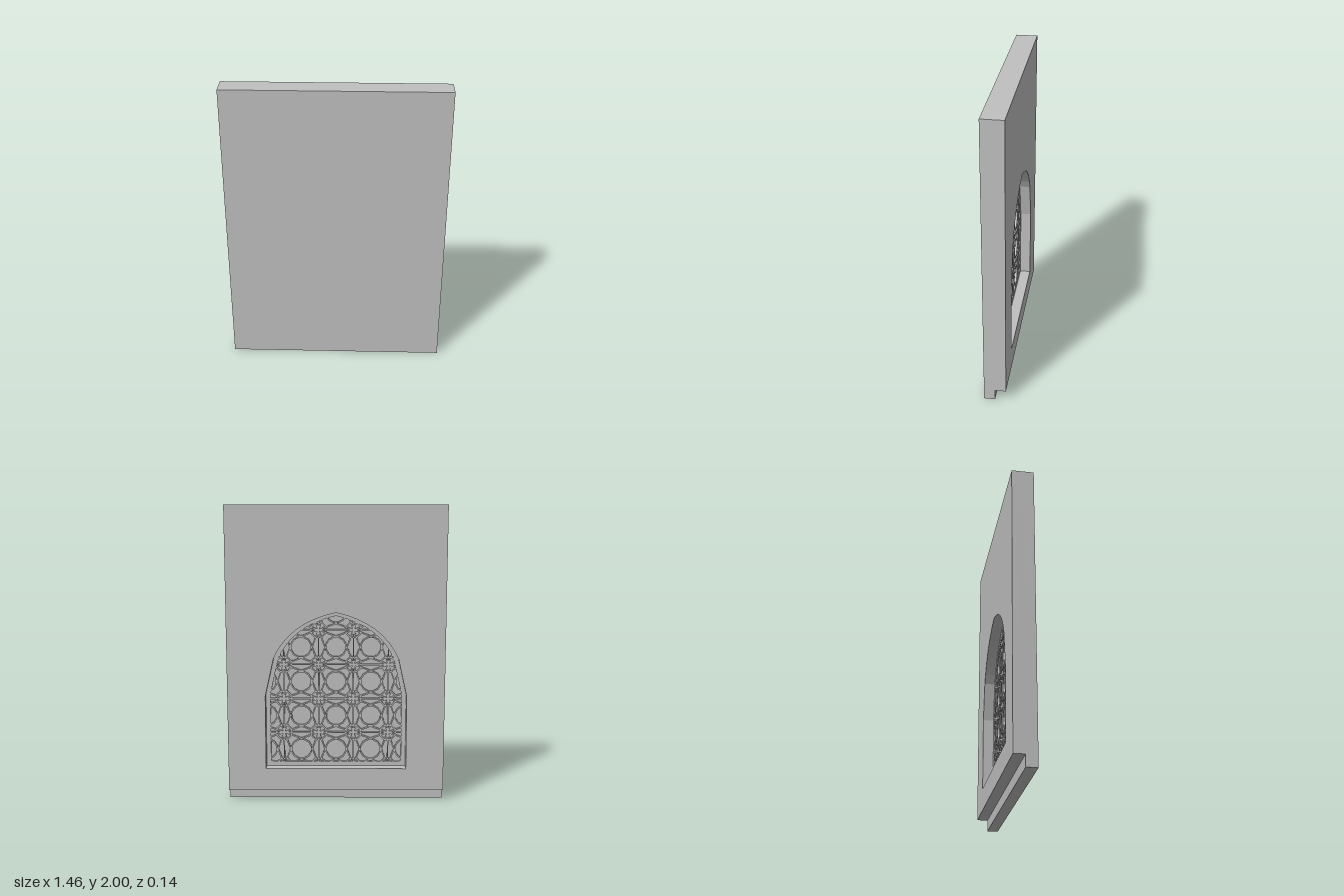
import * as THREE from 'three';
import { mergeGeometries } from 'three/addons/utils/BufferGeometryUtils.js';

const W = 0.73, FRONT = 0.073, BACK = -0.072, FLOOR = 0.015;

// Pointed arch outline, counter-clockwise from the bottom right, moved inwards by inset
function archPoints(inset) {
  const cy = 0.73, sx = (0.475 - inset) / 0.475, sy = (0.567 - inset) / 0.567;
  const curve = new THREE.QuadraticBezierCurve(
    new THREE.Vector2(0.418, 0.985), new THREE.Vector2(0.311, 1.229), new THREE.Vector2(0, 1.297));
  const half = [new THREE.Vector2(0.475, cy), ...curve.getPoints(8)]
    .map(p => new THREE.Vector2(p.x * sx, cy + (p.y - cy) * sy));
  const left = half.slice(0, -1).reverse().map(p => new THREE.Vector2(-p.x, p.y));
  const x = 0.475 - inset, y = 0.228 + inset;
  return [new THREE.Vector2(x, y), ...half, ...left, new THREE.Vector2(-x, y)];
}

// Rectangular layer of the panel pierced by an arch
function archedLayer(bottom, inset, z0, z1) {
  const shape = new THREE.Shape([[-W, bottom], [W, bottom], [W, 2], [-W, 2]]
    .map(([x, y]) => new THREE.Vector2(x, y)));
  shape.holes.push(new THREE.Path(archPoints(inset).reverse()));
  const g = new THREE.ExtrudeGeometry(shape, { depth: z1 - z0, bevelEnabled: false });
  return g.translate(0, 0, z0);
}

// Trim the segment a-b to a convex counter-clockwise polygon
function clip(a, b, poly) {
  let t0 = 0, t1 = 1;
  for (let i = 0; i < poly.length; i++) {
    const p = poly[i], q = poly[(i + 1) % poly.length];
    const side = v => (q.x - p.x) * (v.y - p.y) - (q.y - p.y) * (v.x - p.x);
    const sa = side(a), sb = side(b);
    if (sa < 0 && sb < 0) return null;
    if (sa < 0) t0 = Math.max(t0, sa / (sa - sb));
    else if (sb < 0) t1 = Math.min(t1, sa / (sa - sb));
  }
  if (t1 - t0 < 0.01) return null;
  return [a.clone().lerp(b, t0), a.clone().lerp(b, t1)];
}

// Star lattice: rings on a square grid with bursts of strips between them
function latticeGeometry() {
  const pitch = 0.236, ringR = 0.07, poly = archPoints(0.024), strips = [];
  const addStrip = (a, b) => {
    const s = clip(a, b, poly);
    if (!s) return;
    const d = s[1].clone().sub(s[0]);
    const g = new THREE.BoxGeometry(d.length() + 0.004, 0.009, FLOOR - 0.001);
    g.rotateZ(d.angle());
    g.translate((s[0].x + s[1].x) / 2, (s[0].y + s[1].y) / 2, (FLOOR + 0.001) / 2);
    strips.push(g);
  };
  const polar = (c, r, t) => new THREE.Vector2(c.x + r * Math.cos(t), c.y + r * Math.sin(t));
  const ring = (c, r, n) => {
    for (let i = 0; i < n; i++)
      addStrip(polar(c, r, (i + 0.5) * 2 * Math.PI / n), polar(c, r, (i + 1.5) * 2 * Math.PI / n));
  };
  const half = pitch / 2;
  const tilt = Math.PI / 4 - Math.asin(ringR / (half * Math.SQRT2));
  for (let i = -3; i <= 3; i++) {
    for (let j = -1; j <= 5; j++) {
      const c = new THREE.Vector2(i * pitch, 0.345 + j * pitch);
      ring(c, ringR, 12);
      const node = new THREE.Vector2(c.x + half, c.y + half);
      ring(node, 0.055, 8);
      for (let k = 0; k < 4; k++) {
        const t = k * Math.PI / 2;
        addStrip(node, polar(node, half, t));
        for (const s of [-tilt, tilt]) addStrip(node, polar(node, half / Math.cos(tilt), t + s));
      }
    }
  }
  return mergeGeometries(strips);
}

export function createModel() {
  const group = new THREE.Group();
  group.name = 'archedPanel';
  const stone = new THREE.MeshStandardMaterial({ color: 0xc0c0c0 });
  stone.name = 'grey stone';
  const add = (name, geometry) => {
    const mesh = new THREE.Mesh(geometry, stone);
    mesh.name = name;
    group.add(mesh);
  };

  // Plain front slab
  const slab = new THREE.BoxGeometry(2 * W, 2, FRONT - FLOOR);
  slab.translate(0, 1, (FRONT + FLOOR) / 2);
  add('frontSlab', slab);

  // Thin layer forming the border of the lattice
  add('latticeBorder', archedLayer(0, 0.03, 0, FLOOR));

  // Back layer with the deep arch, stopping short to leave the bottom rebate
  add('backLayer', archedLayer(0.076, 0, BACK, 0));

  add('starLattice', latticeGeometry());
  return group;
}
